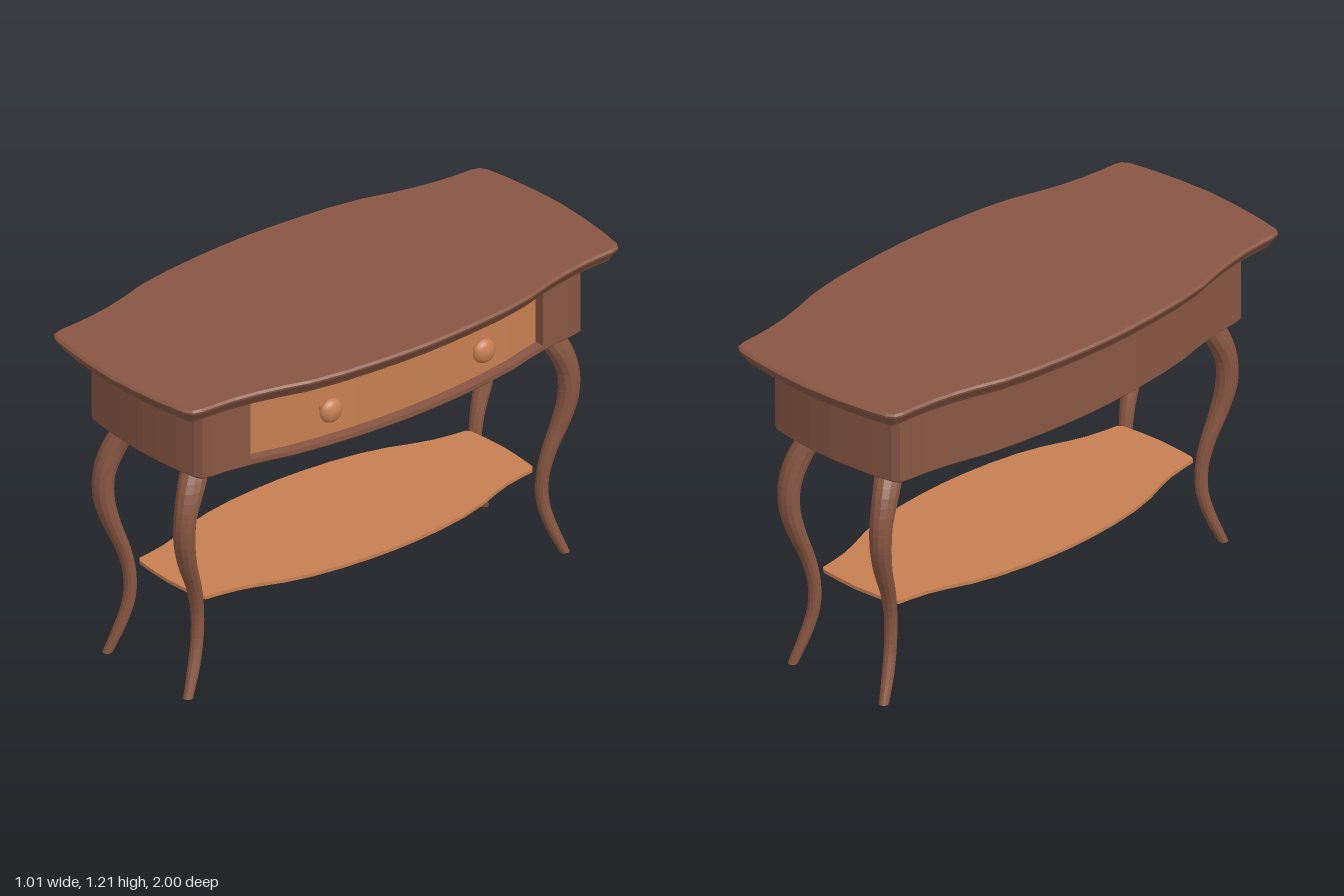
import * as THREE from 'three';

// Mirror a quarter outline of [x, z] points into a closed plan loop
function planLoop(quarter) {
  const loop = [];
  [[1, 1], [-1, 1], [-1, -1], [1, -1]].forEach(([sx, sz], i) => {
    const q = i % 2 ? [...quarter].reverse() : quarter;
    q.slice(0, -1).forEach(([x, z]) => loop.push([x * sx, z * sz]));
  });
  return loop;
}

// Move a closed loop inward by d
function inset(loop, d) {
  const n = loop.length;
  return loop.map(([x, z], i) => {
    const a = loop[(i + n - 1) % n], b = loop[(i + 1) % n];
    const tx = b[0] - a[0], tz = b[1] - a[1], l = Math.hypot(tx, tz);
    return [x - d * tz / l, z + d * tx / l];
  });
}

// Skin stacked loops, given as { y, loop } from bottom to top, with crisp facets
function loft(rings, caps = true) {
  const pos = [];
  const n = rings[0].loop.length;
  const put = (r, i) => pos.push(r.loop[i % n][0], r.y, r.loop[i % n][1]);
  for (let k = 0; k < rings.length - 1; k++) {
    const lo = rings[k], hi = rings[k + 1];
    for (let i = 0; i < n; i++) {
      put(lo, i); put(hi, i); put(lo, i + 1);
      put(hi, i); put(hi, i + 1); put(lo, i + 1);
    }
  }
  if (caps) {
    [[rings[0], 0], [rings[rings.length - 1], 1]].forEach(([r, top]) => {
      const cx = r.loop.reduce((s, p) => s + p[0], 0) / n;
      const cz = r.loop.reduce((s, p) => s + p[1], 0) / n;
      for (let i = 0; i < n; i++) {
        pos.push(cx, r.y, cz);
        put(r, i + top); put(r, i + 1 - top);
      }
    });
  }
  const geo = new THREE.BufferGeometry();
  geo.setAttribute('position', new THREE.Float32BufferAttribute(pos, 3));
  geo.computeVertexNormals();
  return geo;
}

export function createModel() {
  const table = new THREE.Group();
  table.name = 'sideTable';
  const brown = new THREE.MeshStandardMaterial({ color: 0x875643 });
  brown.name = 'brown wood';
  const orange = new THREE.MeshStandardMaterial({ color: 0xc67f52 });
  orange.name = 'light wood';

  const add = (name, geo, mat, parent = table) => {
    const mesh = new THREE.Mesh(geo, mat);
    mesh.name = name;
    parent.add(mesh);
    return mesh;
  };

  // Table top with an undercut moulded edge
  const top = planLoop([[0.505, 0], [0.502, 0.1], [0.495, 0.22], [0.482, 0.36], [0.46, 0.49],
    [0.43, 0.59], [0.408, 0.68], [0.393, 0.77], [0.386, 0.85], [0.384, 0.91], [0.374, 0.945],
    [0.345, 0.963], [0.25, 0.98], [0.13, 0.993], [0, 1]]);
  add('tableTop', loft([
    { y: 1.155, loop: inset(top, 0.033) },
    { y: 1.165, loop: inset(top, 0.027) },
    { y: 1.197, loop: inset(top, 0.002) },
    { y: 1.205, loop: top },
    { y: 1.212, loop: inset(top, 0.008) },
  ]), brown);

  // Apron: closed rails above and below, and a wall notched for the drawer
  const half = 0.65;
  const apron = planLoop([[0.412, 0], [0.409, 0.1], [0.402, 0.22], [0.387, 0.36], [0.366, 0.49],
    [0.342, 0.58], [0.327, half], [0.313, 0.73], [0.307, 0.8], [0.298, 0.84], [0.27, 0.855],
    [0.19, 0.868], [0.1, 0.876], [0, 0.88]]);
  add('bottomRail', loft([
    { y: 0.88, loop: inset(apron, 0.008) },
    { y: 0.888, loop: apron },
    { y: 0.905, loop: apron },
  ]), brown);
  add('topRail', loft([{ y: 1.128, loop: apron }, { y: 1.158, loop: apron }]), brown);

  const inOpening = ([x, z]) => x > 0 && Math.abs(z) <= half;
  const wall = [];
  apron.forEach((p) => {
    if (!inOpening(p)) wall.push(p);
    else if (Math.abs(p[1]) === half) {
      const inner = [0.255, p[1]];
      wall.push(...(p[1] > 0 ? [inner, p] : [p, inner]));
    }
  });
  add('apronWall', loft([{ y: 0.905, loop: wall }, { y: 1.128, loop: wall }], false), brown);

  // Bowed drawer front set back in the opening
  const drawer = new THREE.Group();
  drawer.name = 'drawer';
  table.add(drawer);
  const bow = apron.filter(inOpening).map(([x, z]) => [x - 0.04, z]).sort((a, b) => a[1] - b[1]);
  const panel = [[0.24, -half], ...bow, [0.24, half]];
  add('drawerFront', loft([{ y: 0.905, loop: panel }, { y: 1.128, loop: panel }]), orange, drawer);

  // Turned knobs
  const knobProfile = [[0.022, 0], [0.02, 0.02], [0.024, 0.03], [0.043, 0.035], [0.045, 0.042],
    [0.04, 0.056], [0.025, 0.066], [0, 0.07]].map(([r, h]) => new THREE.Vector2(r, h));
  for (const z of [-0.34, 0.34]) {
    const knob = add('drawerKnob', new THREE.LatheGeometry(knobProfile, 24), orange, drawer);
    knob.rotation.z = -Math.PI / 2;
    knob.position.set(0.341, 1.016, z);
  }

  // Lower shelf with a bevelled underside
  const shelf = planLoop([[0.316, 0], [0.313, 0.1], [0.303, 0.22], [0.284, 0.34], [0.257, 0.44],
    [0.222, 0.53], [0.2, 0.6], [0.187, 0.67], [0.18, 0.725], [0.165, 0.737], [0.09, 0.745],
    [0, 0.75]]);
  add('lowerShelf', loft([
    { y: 0.315, loop: inset(shelf, 0.03) },
    { y: 0.329, loop: shelf },
    { y: 0.342, loop: shelf },
  ]), orange);

  // Cabriole legs: centre x, y, centre z and the two widths up the leg
  const legKeys = [
    [0.217, 0, 0.836, 0.035, 0.036], [0.198, 0.1, 0.795, 0.044, 0.045],
    [0.183, 0.2, 0.768, 0.046, 0.046], [0.182, 0.3, 0.767, 0.049, 0.047],
    [0.192, 0.4, 0.789, 0.057, 0.054], [0.205, 0.5, 0.827, 0.07, 0.065],
    [0.217, 0.6, 0.852, 0.08, 0.074], [0.218, 0.7, 0.85, 0.084, 0.08],
    [0.205, 0.8, 0.813, 0.09, 0.104], [0.176, 0.89, 0.762, 0.096, 0.112],
  ];
  const centre = new THREE.CatmullRomCurve3(legKeys.map((k) => new THREE.Vector3(k[0], k[1], k[2])));
  const width = new THREE.CatmullRomCurve3(legKeys.map((k) => new THREE.Vector3(k[3], 0, k[4])));
  const steps = 27, sides = 12;
  for (const sx of [1, -1]) {
    for (const sz of [1, -1]) {
      const rings = [];
      for (let k = 0; k <= steps; k++) {
        const c = centre.getPoint(k / steps), w = width.getPoint(k / steps);
        const loop = [];
        for (let i = 0; i < sides; i++) {
          const a = (i / sides) * Math.PI * 2;
          loop.push([sx * c.x + Math.cos(a) * w.x / 2, sz * c.z + Math.sin(a) * w.z / 2]);
        }
        rings.push({ y: c.y, loop });
      }
      add(`${sz > 0 ? 'front' : 'back'}${sx > 0 ? 'Left' : 'Right'}Leg`, loft(rings), brown);
    }
  }
  return table;
}
